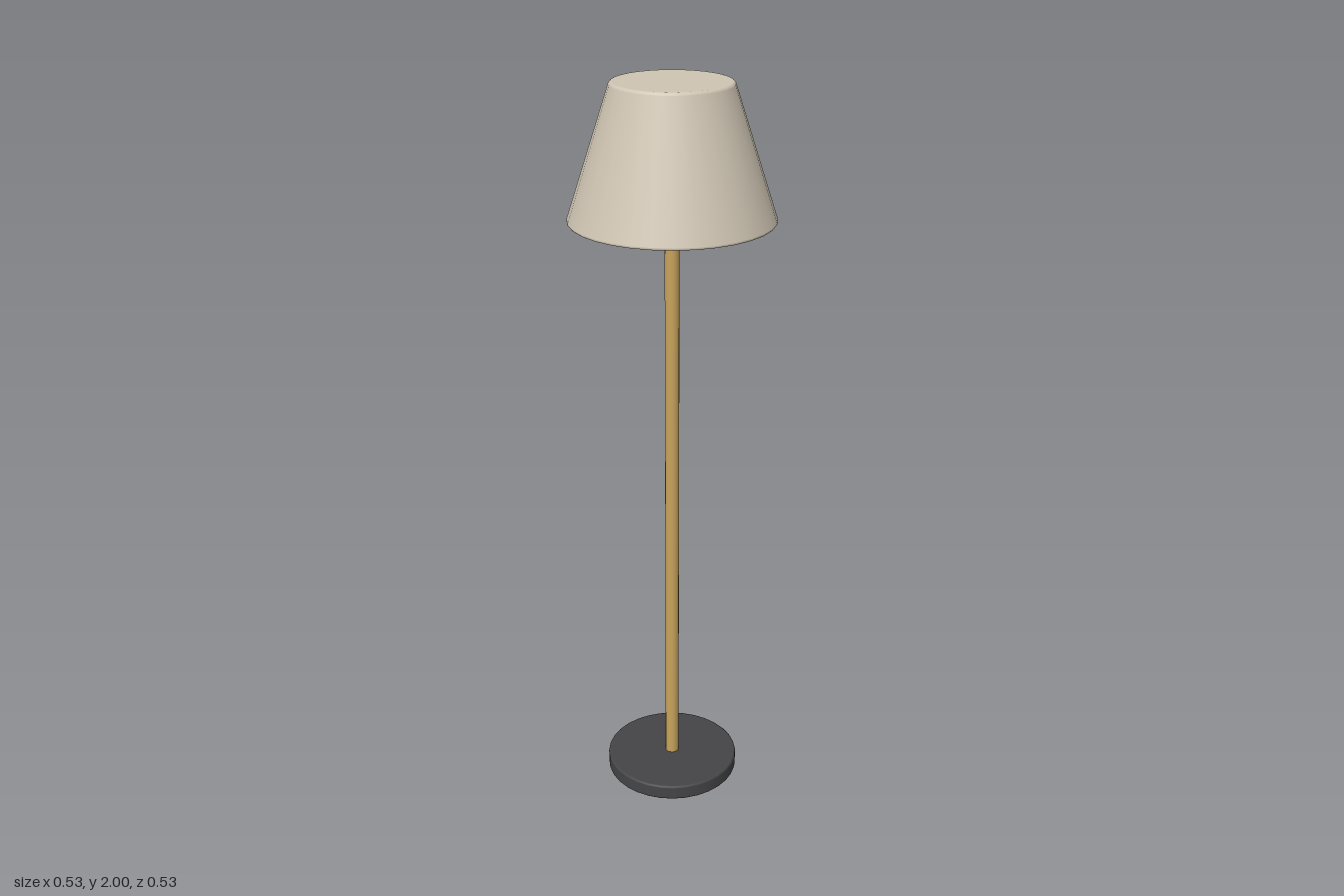
import * as THREE from 'three';

const SIDES = 32;

// Solid disc or cone frustum with small rounded rims, turned from a profile.
function turnedSolid(rBottom, rTop, y0, y1, bevel) {
  const pts = [new THREE.Vector2(0, y0)];
  const edge = bevel * 0.15; // support points keep the flat faces flat
  const at = (y) => rBottom + (rTop - rBottom) * (y - y0) / (y1 - y0);
  pts.push(new THREE.Vector2(rBottom - bevel - edge, y0));
  for (let i = 0; i <= 3; i++) {
    const a = (i / 3) * Math.PI / 2;
    const y = y0 + bevel * (1 - Math.cos(a));
    pts.push(new THREE.Vector2(at(y) - bevel * (1 - Math.sin(a)), y));
  }
  pts.push(new THREE.Vector2(at(y0 + bevel + edge), y0 + bevel + edge));
  pts.push(new THREE.Vector2(at(y1 - bevel - edge), y1 - bevel - edge));
  for (let i = 0; i <= 3; i++) {
    const a = (i / 3) * Math.PI / 2;
    const y = y1 - bevel * (1 - Math.sin(a));
    pts.push(new THREE.Vector2(at(y) - bevel * (1 - Math.cos(a)), y));
  }
  pts.push(new THREE.Vector2(rTop - bevel - edge, y1));
  pts.push(new THREE.Vector2(0, y1));
  return new THREE.LatheGeometry(pts, SIDES);
}

export function createModel() {
  const lamp = new THREE.Group();
  lamp.name = 'floorLamp';

  const material = (name, color) => {
    const m = new THREE.MeshStandardMaterial({ color });
    m.name = name;
    return m;
  };
  const add = (name, geometry, mat) => {
    const mesh = new THREE.Mesh(geometry, mat);
    mesh.name = name;
    lamp.add(mesh);
    return mesh;
  };

  // Heavy round foot
  add('base', turnedSolid(0.187, 0.187, 0, 0.043, 0.005), material('charcoal', 0x454548));

  // Slim brass pole running up into the shade
  const pole = add('pole', new THREE.CylinderGeometry(0.019, 0.019, 1.66, 16), material('brass', 0xc8a45c));
  pole.position.y = 0.03 + 1.66 / 2;

  // Closed tapered shade
  add('shade', turnedSolid(0.268, 0.154, 1.652, 2, 0.006), material('linen', 0xcfc5b3));

  return lamp;
}
